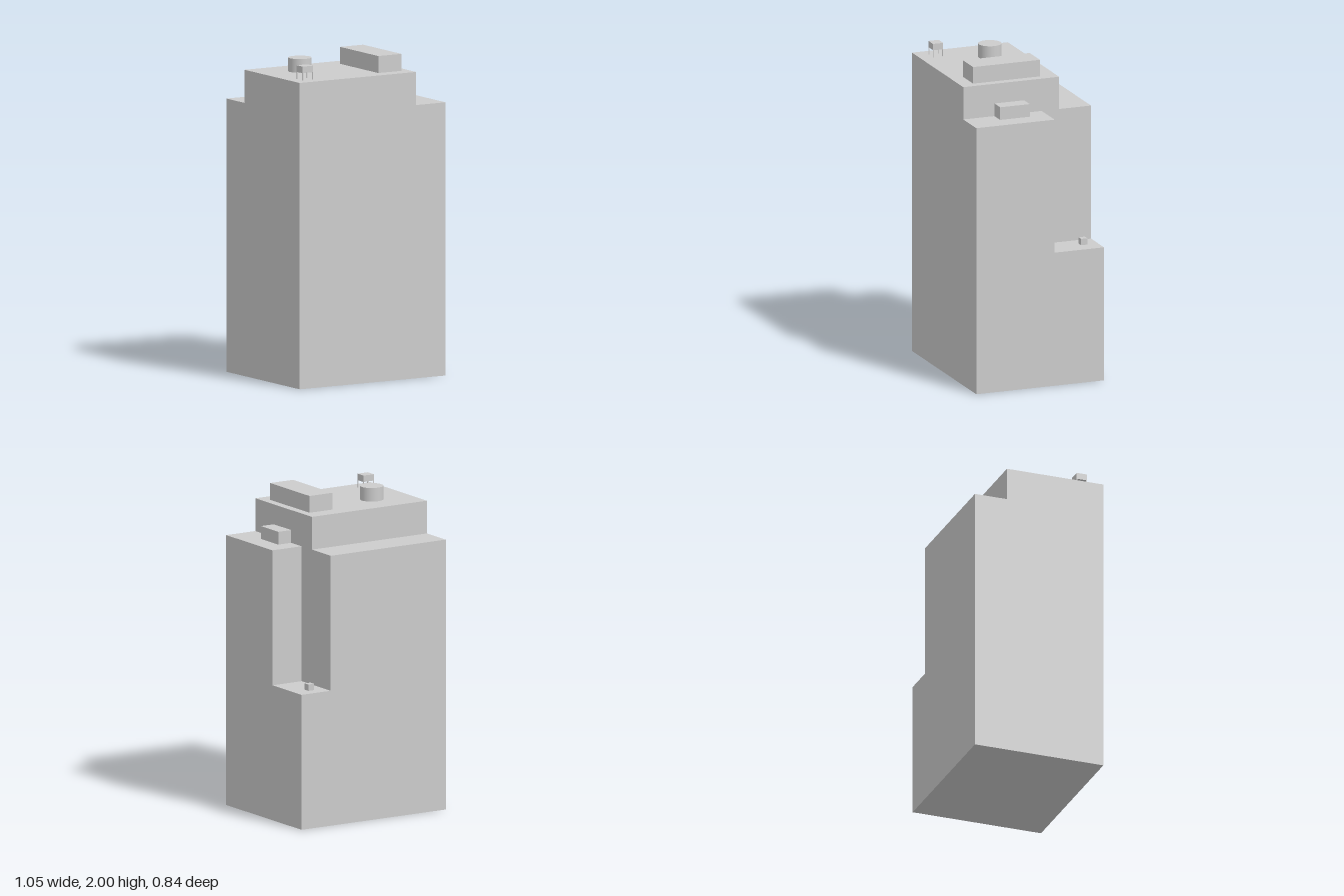
import * as THREE from 'three';

const material = new THREE.MeshStandardMaterial({ color: 0xcccccc });

export function createModel() {
  const model = new THREE.Group();
  model.name = 'officeTower';

  const add = (name, geometry, parent = model) => {
    const mesh = new THREE.Mesh(geometry, material);
    mesh.name = name;
    parent.add(mesh);
    return mesh;
  };
  // Box given by its extents along each axis
  const block = (name, [x0, x1], [y0, y1], [z0, z1], parent) =>
    add(name, new THREE.BoxGeometry(x1 - x0, y1 - y0, z1 - z0), parent)
      .position.set((x0 + x1) / 2, (y0 + y1) / 2, (z0 + z1) / 2);

  const W = 0.527, D = 0.421;              // half width and half depth
  const low = 0.845, mid = 1.69, top = 1.895; // terrace and roof heights
  const stepX = 0.314, notchZ = -0.096, backZ = -0.211;

  // Full-footprint base
  block('base', [-W, W], [0, low], [-D, D]);

  // L-shaped shaft with the back left corner cut away (shape y = -z)
  const plan = new THREE.Shape([
    [-W, -D], [W, -D], [W, -notchZ], [stepX, -notchZ], [stepX, D], [-W, D],
  ].map(([x, y]) => new THREE.Vector2(x, y)));
  const shaft = new THREE.ExtrudeGeometry(plan, { depth: mid - low, bevelEnabled: false });
  shaft.rotateX(-Math.PI / 2);
  add('shaft', shaft).position.y = low;

  // Set-back upper storey
  block('upperStorey', [-W, stepX], [mid, top], [backZ, D]);

  // Rooftop and terrace structures
  block('penthouse', [0.095, 0.262], [top, 2], [-0.105, 0.335]);
  block('terraceHut', [stepX, 0.408], [mid, 1.77], [0.02, 0.216]);
  block('cornerVent', [0.39, 0.431], [low, 0.885], [-0.35, -0.309]);
  add('waterTank', new THREE.CylinderGeometry(0.072, 0.072, 0.085, 32))
    .position.set(-0.268, top + 0.0425, 0.012);

  // Cooling unit standing on four thin legs
  const unit = new THREE.Group();
  unit.name = 'coolingUnit';
  model.add(unit);
  const ux = [-0.456, -0.38], uz = [0.274, 0.341], leg = 0.005;
  block('unitBody', ux, [1.94, 1.98], uz, unit);
  for (const x of [ux[0], ux[1] - leg])
    for (const z of [uz[0], uz[1] - leg])
      block('unitLeg', [x, x + leg], [top, 1.94], [z, z + leg], unit);

  return model;
}
